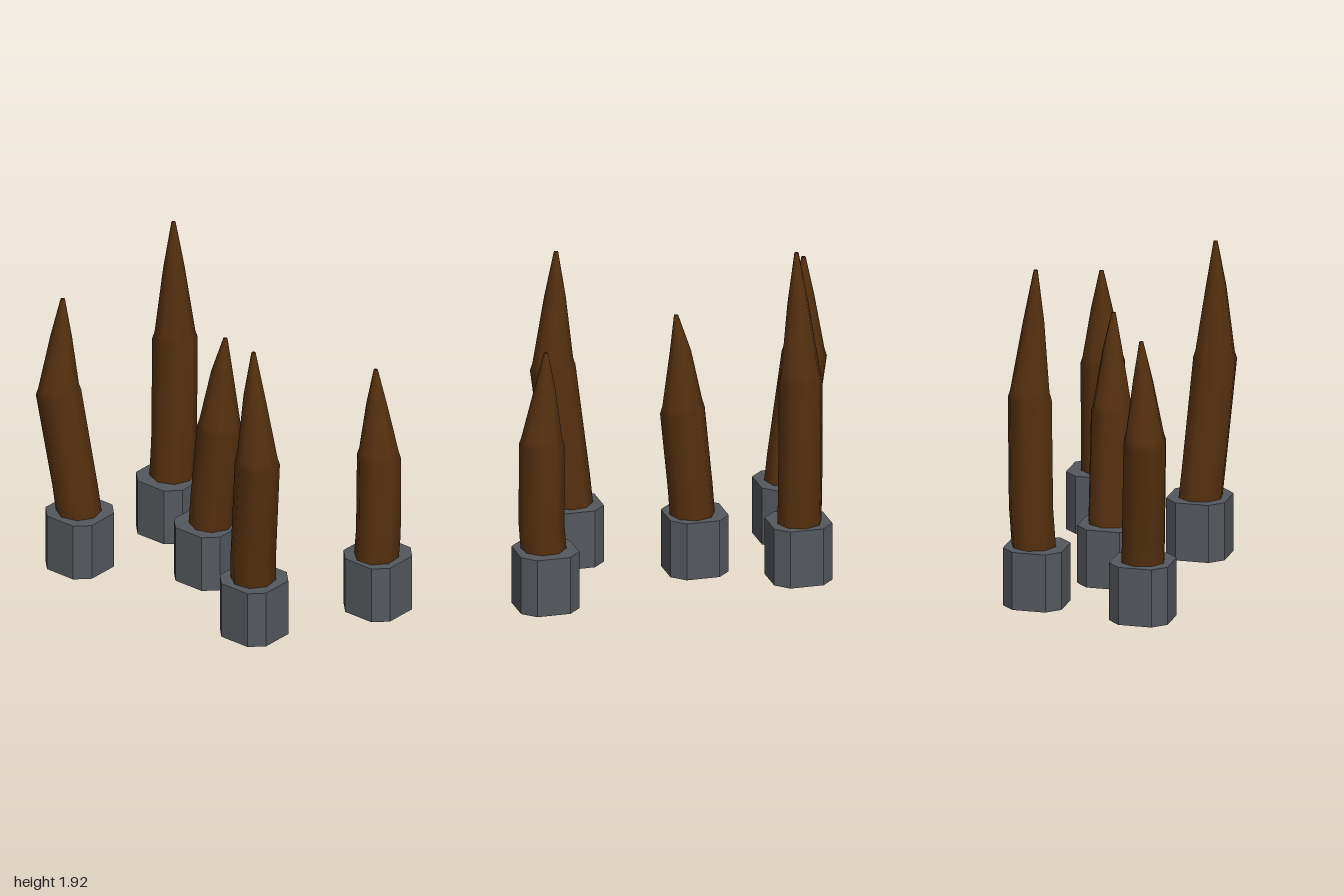
import * as THREE from 'three';

const SIDES = 8;

// Block with clipped corners, standing on the ground
function makeBase(material, x, z) {
  const h = 0.168, c = 0.095;
  const outline = [[h, -c], [h, c], [c, h], [-c, h], [-h, c], [-h, -c], [-c, -h], [c, -h]];
  const shape = new THREE.Shape(outline.map(([a, b]) => new THREE.Vector2(a, b)));
  const geometry = new THREE.ExtrudeGeometry(shape, { depth: 0.333, bevelEnabled: false });
  geometry.rotateX(-Math.PI / 2);
  const mesh = new THREE.Mesh(geometry, material);
  mesh.name = 'stoneBase';
  mesh.position.set(x, 0, z);
  return mesh;
}

// Bent, pointed stake lofted through rings given as [x, y, z, radius, tiltX, tiltZ]
function makeStake(material, rings, turn) {
  const positions = [], index = [];
  for (const [x, y, z, r, tx, tz] of rings) {
    for (let i = 0; i < SIDES; i++) {
      const a = turn + (i / SIDES) * Math.PI * 2;
      const dx = Math.cos(a) * r, dz = Math.sin(a) * r;
      positions.push(x + dx, y - dx * tx - dz * tz, z + dz);
    }
  }
  for (let k = 0; k < rings.length - 1; k++) {
    for (let i = 0; i < SIDES; i++) {
      const a = k * SIDES + i, b = k * SIDES + (i + 1) % SIDES;
      index.push(a, a + SIDES, b, b, a + SIDES, b + SIDES);
    }
  }
  // Close the small tip
  const top = (rings.length - 1) * SIDES;
  for (let i = 1; i < SIDES - 1; i++) index.push(top, top + i + 1, top + i);

  const geometry = new THREE.BufferGeometry();
  geometry.setAttribute('position', new THREE.Float32BufferAttribute(positions, 3));
  geometry.setIndex(index);
  geometry.computeVertexNormals();
  const mesh = new THREE.Mesh(geometry, material);
  mesh.name = 'woodenStake';
  return mesh;
}

export function createModel() {
  const stone = new THREE.MeshStandardMaterial({ color: 0x54585d });
  stone.name = 'grey stone';
  const wood = new THREE.MeshStandardMaterial({ color: 0x55300f });
  wood.name = 'brown wood';

  // Centre of each base, then stake centres at foot, low bend, shoulder, taper and tip
  const stakes = [
    { base: [-0.64, -0.305], foot: [-0.64, 0.33, -0.322], low: [-0.64, 0.55, -0.338],
      shoulder: [-0.64, 1.18, -0.345], taper: [-0.63, 1.63, -0.325], tip: [-0.625, 1.92, -0.315] },
    { base: [-0.125, -0.02], foot: [-0.108, 0.33, -0.03], low: [-0.095, 0.5, -0.03],
      shoulder: [-0.05, 0.95, -0.032], taper: [-0.038, 1.3, -0.035], tip: [-0.013, 1.515, -0.035] },
    { base: [-0.755, 0.335], foot: [-0.76, 0.33, 0.337], low: [-0.779, 0.48, 0.345],
      shoulder: [-0.872, 1.05, 0.378], taper: [-0.864, 1.4, 0.365], tip: [-0.861, 1.63, 0.355] },
    { base: [0.495, 0.32], foot: [0.493, 0.33, 0.325], low: [0.507, 0.5, 0.34],
      shoulder: [0.575, 1.115, 0.386], taper: [0.56, 1.53, 0.395], tip: [0.554, 1.795, 0.394] },
    { base: [0.83, -0.345], foot: [0.836, 0.33, -0.326], low: [0.848, 0.48, -0.328],
      shoulder: [0.848, 0.95, -0.334], taper: [0.831, 1.27, -0.335], tip: [0.824, 1.485, -0.334] },
  ];

  const model = new THREE.Group();
  model.name = 'stakeBarricade';
  stakes.forEach(({ base, foot, low, shoulder, taper, tip }, n) => {
    const post = new THREE.Group();
    post.name = 'post' + (n + 1);
    post.add(makeBase(stone, ...base));

    // The shoulder is cut square to the lean of the shaft
    const rise = shoulder[1] - low[1];
    const tiltX = (shoulder[0] - low[0]) / rise, tiltZ = (shoulder[2] - low[2]) / rise;
    const [sx, sy, sz] = shoulder;
    post.add(makeStake(wood, [
      [foot[0], 0.25, foot[2], 0.127, 0, 0],
      [...foot, 0.127, 0, 0],
      [...low, 0.127, 0, 0],
      [sx, sy, sz, 0.126, tiltX, tiltZ],
      [sx, sy + 0.04, sz, 0.113, tiltX, tiltZ],
      [...taper, 0.06, 0, 0],
      [...tip, 0.012, 0, 0],
    ], n * 0.08));
    model.add(post);
  });
  return model;
}
